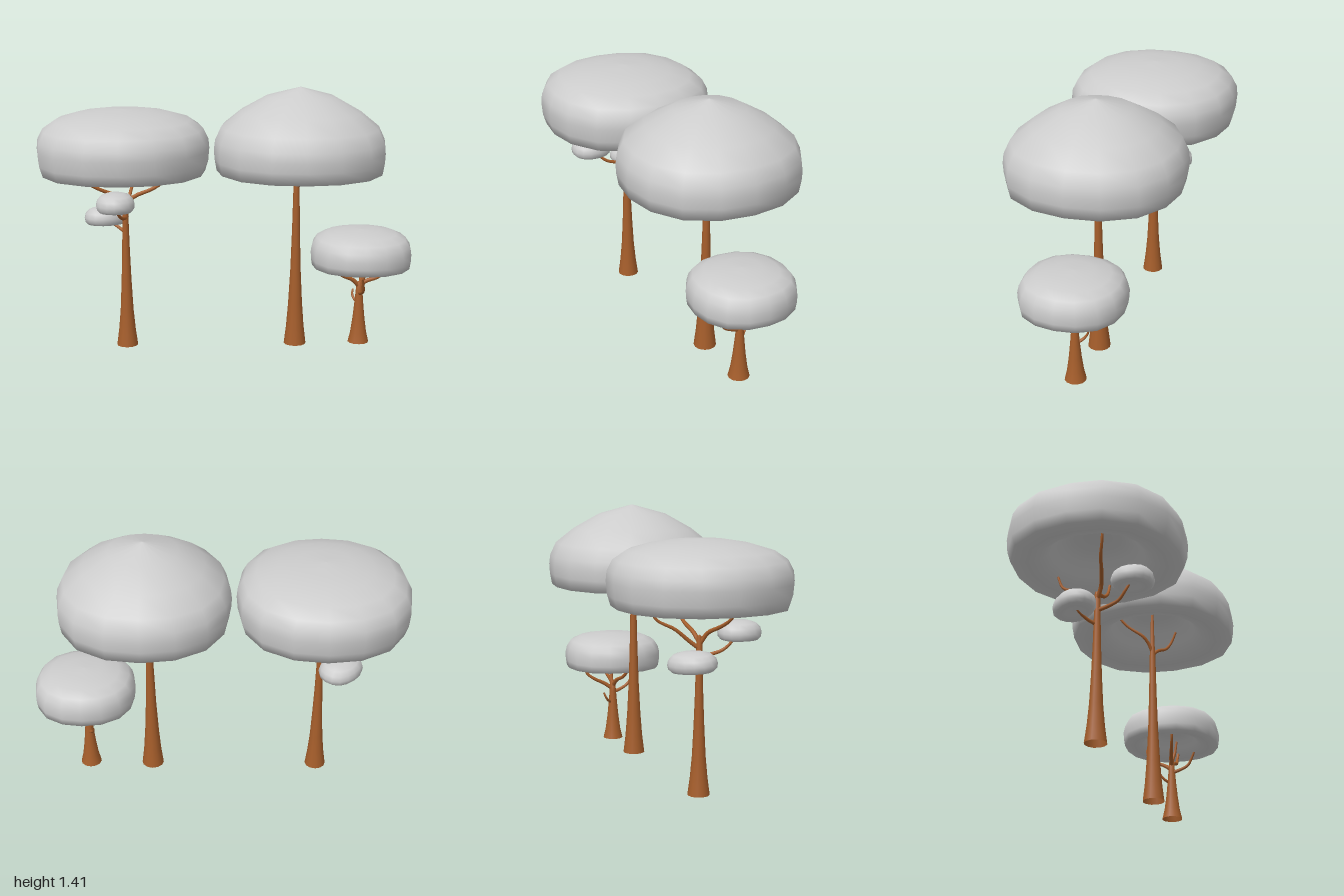
import * as THREE from 'three';

const bark = new THREE.MeshStandardMaterial({ color: 0xa65e2b, side: THREE.DoubleSide });
bark.name = 'brown bark';
const foliage = new THREE.MeshStandardMaterial({ color: 0xcccccc });
foliage.name = 'pale grey foliage';

function lathe(name, profile, sides, material) {
  const points = profile.map(([r, y]) => new THREE.Vector2(r, y));
  const mesh = new THREE.Mesh(new THREE.LatheGeometry(points, sides), material);
  mesh.name = name;
  return mesh;
}

// Foliage: a lathe bulging slightly toward its diagonals
function foliageMass(name, profile) {
  const mesh = lathe(name, profile, 16, foliage);
  const pos = mesh.geometry.attributes.position;
  for (let i = 0; i < pos.count; i++) {
    const x = pos.getX(i), z = pos.getZ(i);
    const k = 1 + 0.042 * Math.sin(2 * Math.atan2(z, x)) ** 2;
    pos.setXYZ(i, x * k, pos.getY(i), z * k);
  }
  return mesh;
}

// Branch: a curved tube narrowing from r0 to r1
function branch(path, r0, r1) {
  const curve = new THREE.CatmullRomCurve3(path.map(p => new THREE.Vector3(...p)));
  const rings = 14, sides = 8;
  const geo = new THREE.TubeGeometry(curve, rings, r0, sides);
  const pos = geo.attributes.position, v = new THREE.Vector3();
  for (let i = 0; i <= rings; i++) {
    const c = curve.getPointAt(i / rings);
    const k = THREE.MathUtils.lerp(1, r1 / r0, i / rings);
    for (let j = 0; j <= sides; j++) {
      const n = i * (sides + 1) + j;
      v.fromBufferAttribute(pos, n).sub(c).multiplyScalar(k).add(c);
      pos.setXYZ(n, v.x, v.y, v.z);
    }
  }
  const mesh = new THREE.Mesh(geo, bark);
  mesh.name = 'branch';
  return mesh;
}

// Tree: flared trunk, branches, and a canopy with a hollow underside
function tree(name, x, trunk, branches, canopy, canopyX) {
  const g = new THREE.Group();
  g.name = name;
  g.position.x = x;
  g.add(lathe('trunk', trunk, 12, bark));
  for (const [path, r0, r1] of branches) g.add(branch(path, r0, r1));
  const top = foliageMass('canopy', canopy);
  top.position.x = canopyX;
  g.add(top);
  return g;
}

// Small foliage puff with a dimpled underside
function puff(position, scale, tilt, turn) {
  const mesh = foliageMass('foliagePuff', [
    [0, 0.22], [0.22, 0.17], [0.4, 0.04], [0.62, 0], [0.85, 0.04], [0.97, 0.18], [1, 0.4],
    [0.94, 0.65], [0.76, 0.86], [0.42, 0.98], [0, 1]]);
  mesh.scale.set(...scale);
  mesh.position.set(...position);
  mesh.rotation.set(tilt, turn, 0);
  return mesh;
}

export function createModel() {
  const model = new THREE.Group();
  model.name = 'treeGroup';

  // Flat-topped tall tree with two side puffs
  const flat = tree('flatTree', -0.54,
    [[0.057, 0], [0.045, 0.09], [0.035, 0.2], [0.027, 0.36], [0.021, 0.52], [0.017, 0.68], [0.014, 0.81], [0, 0.82]],
    [
      [[[0, 0.78, 0], [0.05, 0.825, -0.01], [0.15, 0.865, -0.02], [0.22, 0.915, -0.025], [0.26, 0.97, -0.03], [0.28, 1.05, -0.03]], 0.012, 0.006],
      [[[0, 0.77, 0], [-0.03, 0.83, 0.03], [-0.11, 0.87, 0.06], [-0.18, 0.91, 0.08], [-0.22, 0.965, 0.1], [-0.24, 1.05, 0.11]], 0.012, 0.006],
      [[[0, 0.75, 0], [0.015, 0.79, -0.05], [0.03, 0.85, -0.12], [0.055, 0.9, -0.21], [0.06, 0.97, -0.24]], 0.011, 0.006],
      [[[0, 0.71, 0], [-0.01, 0.72, 0.06], [-0.02, 0.74, 0.12], [-0.035, 0.78, 0.16], [-0.035, 0.83, 0.19]], 0.011, 0.006],
      [[[0, 0.63, 0], [-0.04, 0.65, -0.04], [-0.09, 0.68, -0.07], [-0.1, 0.71, -0.08]], 0.01, 0.006],
    ],
    [[0, 1.13], [0.11, 1.12], [0.18, 1.085], [0.23, 1.03], [0.28, 0.985], [0.35, 0.964], [0.432, 0.965],
     [0.449, 1.02], [0.455, 1.09], [0.45, 1.14], [0.422, 1.195], [0.357, 1.24], [0.25, 1.272], [0.14, 1.29], [0, 1.297]], -0.005);
  flat.add(puff([-0.04, 0.788, 0.2], [0.1, 0.1, 0.11], 0, 0));
  flat.add(puff([-0.105, 0.658, -0.08], [0.125, 0.1, 0.102], -0.07, Math.PI / 4));
  model.add(flat);

  // Domed tallest tree
  model.add(tree('domedTree', 0.375,
    [[0.06, 0], [0.048, 0.1], [0.038, 0.23], [0.028, 0.42], [0.021, 0.65], [0.017, 0.85], [0.012, 0.95], [0.007, 1.16]],
    [
      [[[0, 0.87, 0], [0.03, 0.905, 0.025], [0.075, 0.93, 0.055], [0.095, 0.97, 0.08], [0.1, 1.04, 0.11]], 0.01, 0.006],
      [[[0, 0.88, 0], [-0.02, 0.93, -0.015], [-0.045, 0.97, -0.04], [-0.075, 1.03, -0.12], [-0.1, 1.1, -0.18]], 0.01, 0.006],
    ],
    [[0, 1.16], [0.11, 1.145], [0.18, 1.1], [0.23, 1.04], [0.28, 0.99], [0.35, 0.968], [0.442, 0.967],
     [0.453, 1.03], [0.456, 1.08], [0.45, 1.13], [0.418, 1.2], [0.32, 1.28], [0.18, 1.36], [0, 1.41]], 0.015));

  // Small low tree
  model.add(tree('smallTree', 0.724,
    [[0.057, 0.005], [0.044, 0.06], [0.033, 0.14], [0.025, 0.22], [0.019, 0.29], [0.015, 0.34], [0, 0.35]],
    [
      [[[0, 0.31, 0], [0.03, 0.345, 0], [0.1, 0.37, 0], [0.15, 0.41, -0.01], [0.172, 0.45, -0.01], [0.18, 0.5, -0.01]], 0.013, 0.006],
      [[[0, 0.32, 0], [-0.04, 0.36, 0.01], [-0.1, 0.39, 0.03], [-0.14, 0.44, 0.045], [-0.15, 0.5, 0.05]], 0.013, 0.006],
      [[[0, 0.3, 0], [0.015, 0.335, -0.05], [0.025, 0.365, -0.11], [0.04, 0.4, -0.15], [0.045, 0.46, -0.165]], 0.012, 0.006],
      [[[0, 0.28, 0], [0.005, 0.295, 0.05], [0.01, 0.32, 0.095], [0.005, 0.36, 0.12], [0, 0.39, 0.135]], 0.011, 0.006],
      [[[0, 0.32, 0], [0.025, 0.37, 0], [0.035, 0.41, 0.01], [0.04, 0.48, 0.02]], 0.012, 0.006],
      [[[0, 0.22, -0.01], [-0.02, 0.235, -0.035], [-0.03, 0.26, -0.055], [-0.025, 0.285, -0.065]], 0.009, 0.005],
    ],
    [[0, 0.54], [0.07, 0.533], [0.11, 0.51], [0.14, 0.478], [0.17, 0.453], [0.21, 0.442], [0.264, 0.442],
     [0.27, 0.48], [0.272, 0.52], [0.263, 0.56], [0.24, 0.595], [0.187, 0.62], [0.1, 0.636], [0, 0.64]], 0.004));

  return model;
}
